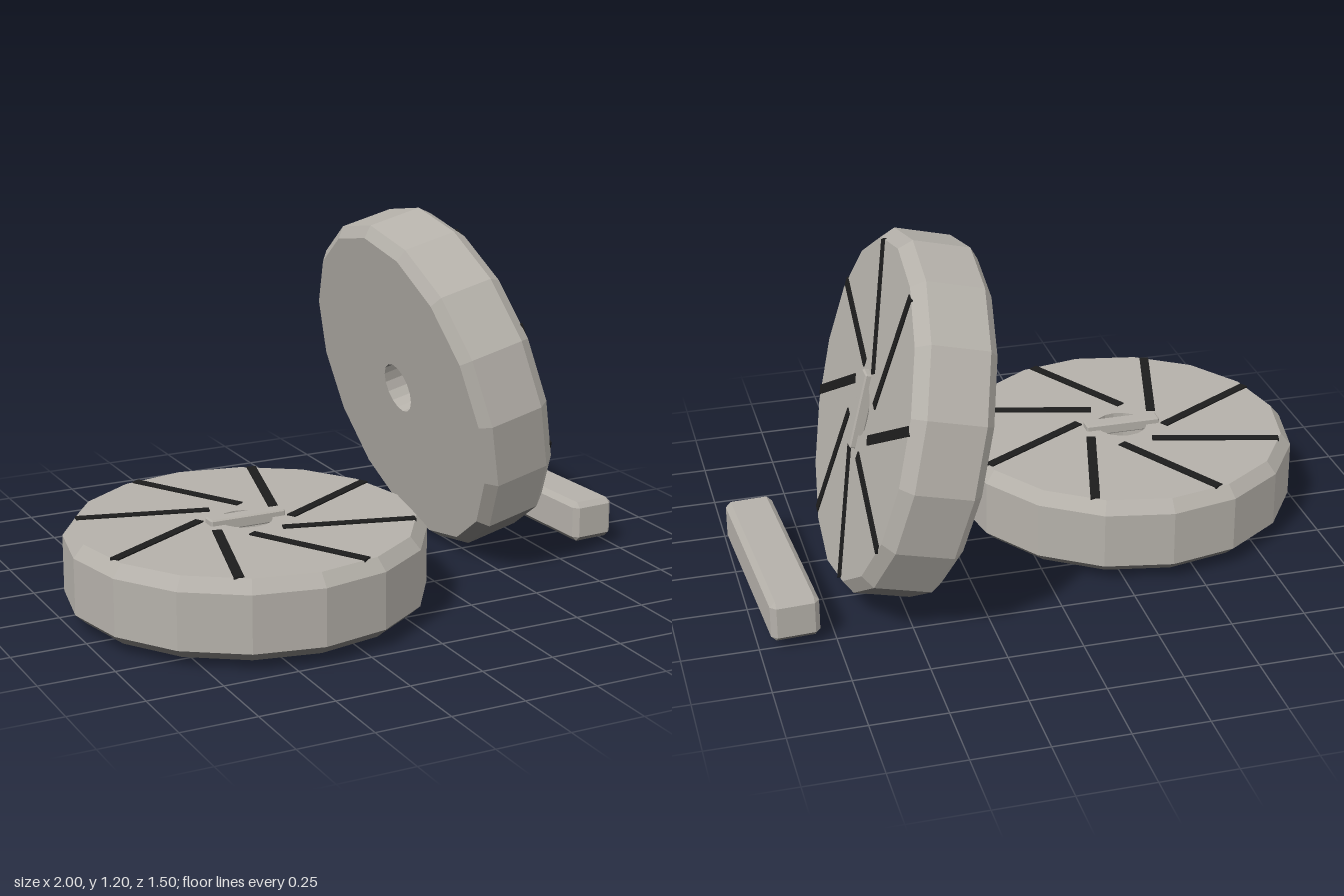
import * as THREE from 'three';
import { ConvexGeometry } from 'three/addons/geometries/ConvexGeometry.js';

const stone = new THREE.MeshStandardMaterial({ color: 0xb4b0a9 });
stone.name = 'stone grey';
const damp = new THREE.MeshStandardMaterial({ color: 0x6d6c6a });
damp.name = 'damp underside grey';
const dark = new THREE.MeshStandardMaterial({ color: 0x1c1c1c });
dark.name = 'groove black';

const HALF = 0.1325; // half thickness of a millstone
const EYE = 0.089;   // radius of the central hole

function part(name, geometry, material, parent) {
  const mesh = new THREE.Mesh(geometry, material);
  mesh.name = name;
  parent.add(mesh);
  return mesh;
}

// Box with a flat chamfer on all twelve edges, centred on the origin
function chamferedBox(w, h, d, c) {
  const points = [];
  for (const x of [-w / 2, w / 2]) for (const y of [-h / 2, h / 2]) for (const z of [-d / 2, d / 2]) {
    const [cx, cy, cz] = [x, y, z].map((v) => v - Math.sign(v) * c);
    points.push(
      new THREE.Vector3(x, cy, cz), new THREE.Vector3(cx, y, cz), new THREE.Vector3(cx, cy, z),
    );
  }
  return new ConvexGeometry(points);
}

// Sixteen-sided ring with chamfered rims, flat shaded
function discGeometry() {
  const profile = [
    [EYE, -HALF], [0.56, -HALF], [0.595, -0.1], [0.595, 0.091],
    [0.56, HALF], [EYE, HALF], [EYE, -HALF],
  ].map(([r, y]) => new THREE.Vector2(r, y));
  const geo = new THREE.LatheGeometry(profile, 16).toNonIndexed();
  geo.computeVertexNormals();
  return geo;
}

// Gives the faces that point at the ground the damp stone colour
function dampUnderside(mesh) {
  mesh.updateWorldMatrix(true, false);
  const normals = mesh.geometry.attributes.normal;
  const normal = new THREE.Vector3();
  const dry = [], wet = [];
  for (let i = 0; i < normals.count; i += 3) {
    normal.fromBufferAttribute(normals, i).transformDirection(mesh.matrixWorld);
    (normal.y < -0.6 ? wet : dry).push(i, i + 1, i + 2);
  }
  mesh.geometry.setIndex([...dry, ...wet]);
  mesh.geometry.addGroup(0, dry.length, 0);
  mesh.geometry.addGroup(dry.length, wet.length, 1);
  mesh.material = [stone, damp];
}

function millstone(name, position, tilt, parent) {
  const group = new THREE.Group();
  group.name = name;
  group.position.set(...position);
  group.rotation.z = tilt;
  parent.add(group);
  dampUnderside(part('stoneDisc', discGeometry(), stone, group));

  // Dark core closing the eye
  part('eyeCore', new THREE.CylinderGeometry(EYE, EYE, 0.01, 16), dark, group);

  // Eight slanted furrows on the grinding face
  const furrow = new THREE.BoxGeometry(0.44, 0.009, 0.032);
  for (let i = 0; i < 8; i++) {
    const a = Math.PI / 16 + (i * Math.PI) / 4;
    const mesh = part('furrow', furrow, dark, group);
    mesh.position.set(0.341 * Math.cos(a), HALF, -0.341 * Math.sin(a));
    mesh.rotation.y = a + 0.327;
  }

  // Bar bridging the eye
  part('eyeBar', chamferedBox(0.265, 0.04, 0.052, 0.005), stone, group).position.y = HALF;
}

export function createModel() {
  const model = new THREE.Group();
  model.name = 'millstones';

  // One stone lying flat, one standing on its rim and leaning back
  millstone('lyingMillstone', [-0.405, 0.1635, 0.155], 0, model);
  millstone('leaningMillstone', [0.45, 0.603, -0.155], 0.24 - Math.PI / 2, model);

  // Loose beam beside the stones
  const beam = part('beam', chamferedBox(0.16, 0.143, 0.72, 0.018), stone, model);
  beam.position.set(0.9, 0.101, -0.16);
  beam.rotation.y = 0.055;
  dampUnderside(beam);

  return model;
}
